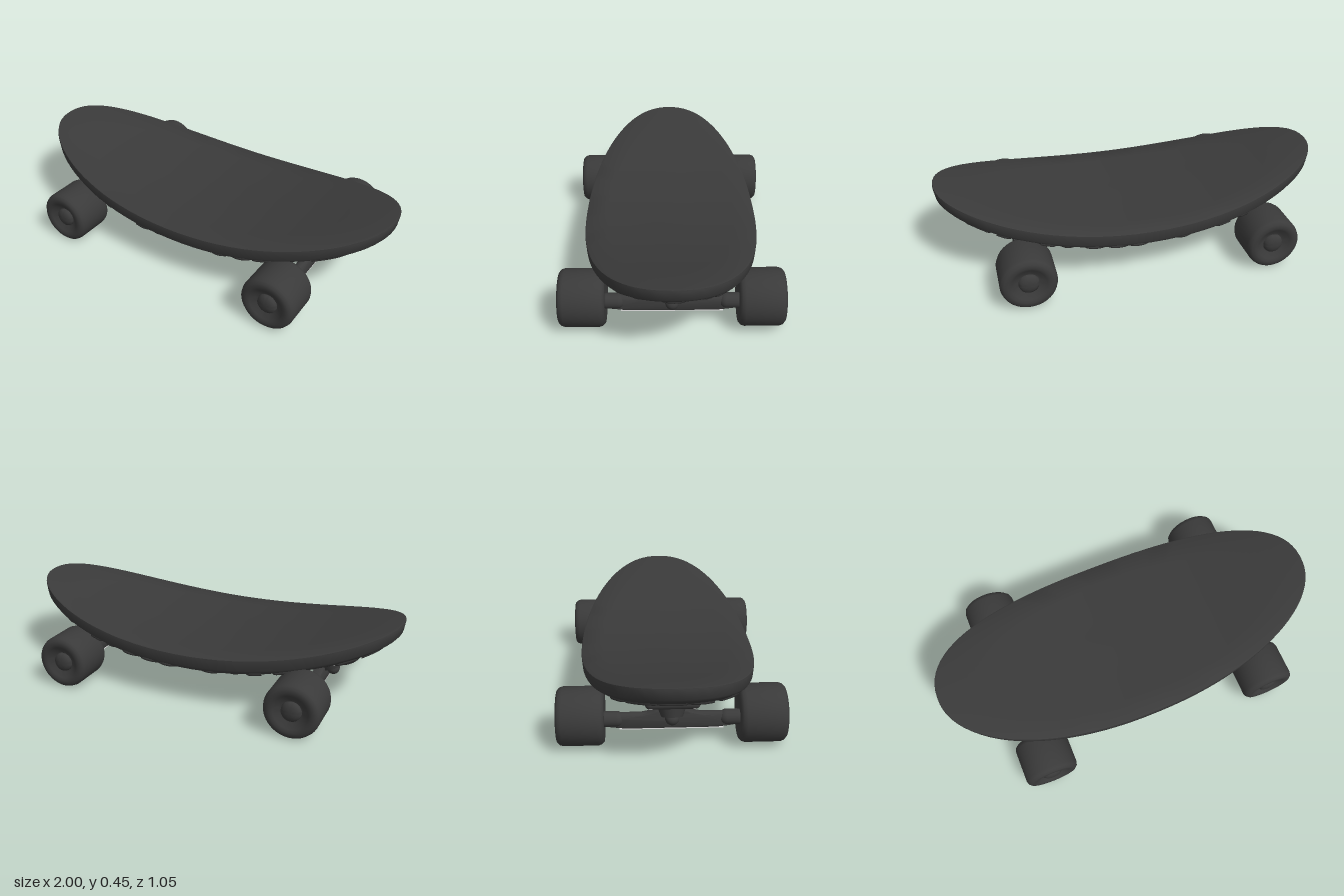
import * as THREE from 'three';
import { toCreasedNormals } from 'three/addons/utils/BufferGeometryUtils.js';
import { RoundedBoxGeometry } from 'three/addons/geometries/RoundedBoxGeometry.js';

const HALF_WIDTH = 0.44, POWER = 2.2;
const deckY = x => 0.278 + 0.177 * x * x;

// Rounded oval outline of the deck
function outline(t) {
  const c = Math.cos(t), s = Math.sin(t), e = 2 / POWER;
  return [Math.sign(c) * Math.abs(c) ** e, HALF_WIDTH * Math.sign(s) * Math.abs(s) ** e];
}
const reach = (x, z) => (Math.abs(x) ** POWER + Math.abs(z / HALF_WIDTH) ** POWER) ** (1 / POWER);
const underDrop = s => -0.078 - 0.034 * (1 - s);
const underY = (x, z) => deckY(x) + underDrop(reach(x, z));

// Bent deck: scaled outlines running from the top centre over the rim to the underside
function deckGeometry() {
  const profile = [[0, 0], [0.25, 0], [0.5, 0], [0.75, 0], [0.985, 0], [0.998, -0.004], [1, -0.012],
    [0.993, -0.056], [0.982, -0.066], [0.965, -0.068],
    ...[0.95, 0.7, 0.45, 0.2, 0].map(s => [s, underDrop(s)])];
  const n = 96, pos = [], idx = [];
  for (const [s, dy] of profile) {
    for (let j = 0; j < n; j++) {
      const [x, z] = outline(j / n * Math.PI * 2);
      pos.push(x * s, deckY(x * s) + dy, z * s);
    }
  }
  for (let i = 0; i < profile.length - 1; i++) {
    for (let j = 0; j < n; j++) {
      const a = i * n + j, c = i * n + (j + 1) % n;
      if (i > 0) idx.push(a, c, a + n);
      if (i < profile.length - 2) idx.push(c, c + n, a + n);
    }
  }
  const g = new THREE.BufferGeometry();
  g.setAttribute('position', new THREE.Float32BufferAttribute(pos, 3));
  g.setIndex(idx);
  return toCreasedNormals(g, 0.7);
}

// Wheel turned around its axle, with dished face and domed hub
function wheelGeometry() {
  const pts = [[0, -0.1], [0.05, -0.1], [0.1, -0.109], [0.12, -0.107], [0.132, -0.096], [0.137, -0.08],
    [0.137, 0.08], [0.132, 0.096], [0.12, 0.107], [0.1, 0.109], [0.085, 0.103], [0.06, 0.085],
    [0.05, 0.083], [0.047, 0.095], [0.034, 0.104], [0.018, 0.108], [0, 0.109]];
  const g = new THREE.LatheGeometry(pts.map(p => new THREE.Vector2(...p)), 40);
  return toCreasedNormals(g.rotateX(Math.PI / 2), 0.8);
}

// Axle housing: flat below, rising to the middle
function hangerGeometry() {
  const s = new THREE.Shape();
  s.moveTo(-0.28, 0.09);
  s.lineTo(-0.2, 0.081);
  s.lineTo(0.2, 0.081);
  s.lineTo(0.28, 0.09);
  s.lineTo(0.26, 0.128);
  s.quadraticCurveTo(0.12, 0.128, 0.07, 0.155);
  s.lineTo(-0.07, 0.155);
  s.quadraticCurveTo(-0.12, 0.128, -0.26, 0.128);
  s.closePath();
  const g = new THREE.ExtrudeGeometry(s, { depth: 0.03, bevelEnabled: true, bevelSize: 0.008, bevelThickness: 0.01, bevelSegments: 2 });
  return toCreasedNormals(g.translate(0, 0, -0.015).rotateY(Math.PI / 2), 0.7);
}

export function createModel() {
  const model = new THREE.Group();
  const dark = new THREE.MeshStandardMaterial({ color: 0x3a3a3a });
  dark.name = 'charcoal';
  const carved = new THREE.MeshStandardMaterial({ color: 0x343434 });
  carved.name = 'dark carving';
  const metal = new THREE.MeshStandardMaterial({ color: 0xf0f0f0 });
  metal.name = 'bright metal';

  const add = (parent, name, geo, mat, x = 0, y = 0, z = 0) => {
    const m = new THREE.Mesh(geo, mat);
    m.name = name;
    m.position.set(x, y, z);
    parent.add(m);
    return m;
  };

  add(model, 'deck', deckGeometry(), dark);

  // Carved scrollwork covering the underside, held inside the rim
  const carving = new THREE.Group();
  carving.name = 'undersideCarving';
  model.add(carving);
  let seed = 7;
  const rand = () => (seed = (seed * 16807) % 2147483647) / 2147483647;
  for (let i = -8; i <= 8; i++) {
    for (let k = -3; k <= 3; k++) {
      const cx = i * 0.114 + (k % 2 ? 0.05 : 0), cz = k * 0.114;
      const turn = rand() * 6.28, dir = rand() < 0.5 ? -1 : 1, size = 0.06 + rand() * 0.025;
      if (reach(cx, cz) > 0.94) continue;
      const pts = [];
      for (let j = 0; j <= 12; j++) {
        const a = turn + dir * j * 0.75, r = 0.012 + size * (j / 12) ** 1.2;
        let x = cx + r * Math.cos(a), z = cz + r * Math.sin(a);
        const fit = Math.min(1, 0.94 / reach(x, z));
        x *= fit;
        z *= fit;
        pts.push(new THREE.Vector3(x, underY(x, z), z));
      }
      add(carving, 'scroll', new THREE.TubeGeometry(new THREE.CatmullRomCurve3(pts), 36, 0.01, 6), carved);
    }
  }
  // Fan of raised leaves across the middle
  for (let k = -2; k <= 2; k++) {
    const leaf = add(carving, 'leaf', new THREE.SphereGeometry(1, 20, 10), carved, -0.03, 0.164, k * 0.085);
    leaf.scale.set(0.1, 0.02, 0.04);
    leaf.rotation.y = k * 0.2;
  }

  // Two mirrored trucks with a pair of wheels each
  const wheelGeo = wheelGeometry(), hangerGeo = hangerGeometry();
  for (const side of [-1, 1]) {
    const truck = new THREE.Group();
    truck.name = side > 0 ? 'leftTruck' : 'rightTruck';
    truck.position.x = side * 0.618;
    model.add(truck);

    const base = add(truck, 'basePlate', new RoundedBoxGeometry(0.24, 0.08, 0.25, 3, 0.025), dark, 0, 0.235, 0);
    base.rotation.z = side * 0.2;
    for (const z of [-1, 1]) {
      add(base, 'mountingPad', new THREE.BoxGeometry(0.07, 0.006, 0.05), metal, side * 0.055, -0.04, z * 0.08);
    }

    // Steering post with rubber bushing on the outside, pivot on the inside
    const bushing = add(truck, 'bushing', new THREE.CylinderGeometry(0.075, 0.05, 0.07, 24), dark, side * 0.035, 0.182, 0);
    bushing.rotation.z = side * 0.35;
    add(truck, 'postNut', new THREE.SphereGeometry(0.032, 20, 14), dark, side * 0.055, 0.143, 0);
    const pivot = add(truck, 'pivot', new THREE.CylinderGeometry(0.04, 0.028, 0.09, 16), dark, -side * 0.05, 0.17, 0);
    pivot.rotation.z = side * 0.6;
    const ring = add(truck, 'pivotRing', new THREE.TorusGeometry(0.032, 0.006, 8, 20), metal, -side * 0.045, 0.145, 0);
    ring.rotation.x = Math.PI / 2;

    add(truck, 'hanger', hangerGeo, dark);
    add(truck, 'hangerUnderside', new THREE.BoxGeometry(0.046, 0.006, 0.48), metal, 0, 0.075, 0);
    add(truck, 'axle', new THREE.CylinderGeometry(0.024, 0.024, 0.66, 16).rotateX(Math.PI / 2), dark, 0, 0.125, 0);

    for (const z of [-1, 1]) {
      add(truck, 'axleCollar', new THREE.CapsuleGeometry(0.037, 0.05, 6, 20).rotateX(Math.PI / 2), dark, 0, 0.117, z * 0.28);
      const wheel = add(truck, 'wheel', wheelGeo, dark, 0, 0.137, z * 0.416);
      if (z < 0) wheel.rotation.y = Math.PI;
    }
  }
  return model;
}
